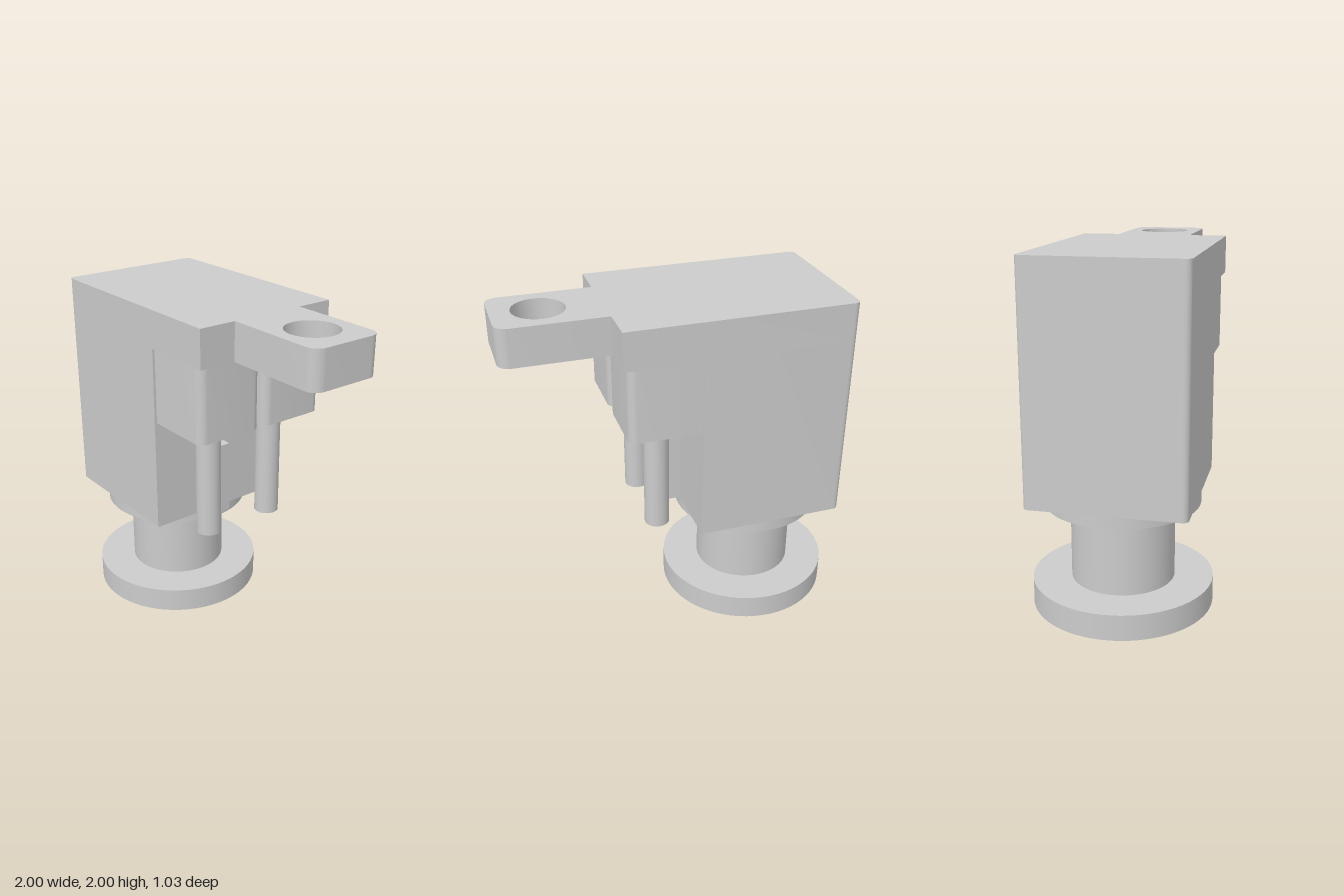
import * as THREE from 'three';
import { toCreasedNormals } from 'three/addons/utils/BufferGeometryUtils.js';

const material = new THREE.MeshStandardMaterial({ color: 0xcccccc });

export function createModel() {
  const model = new THREE.Group();

  function add(name, geometry, x = 0, y = 0, z = 0) {
    const mesh = new THREE.Mesh(geometry, material);
    mesh.name = name;
    mesh.position.set(x, y, z);
    model.add(mesh);
    return mesh;
  }

  // Vertical prism from a plan outline, standing on y0
  function addPrism(name, shape, y0, y1, z = 0) {
    const geometry = new THREE.ExtrudeGeometry(shape, {
      depth: y1 - y0, bevelEnabled: false, curveSegments: 12,
    });
    geometry.rotateX(-Math.PI / 2);
    return add(name, toCreasedNormals(geometry, 0.6), 0, y0, z);
  }

  function addDisc(name, radius, y0, y1, x, z = 0, sides = 64) {
    return add(name, new THREE.CylinderGeometry(radius, radius, y1 - y0, sides), x, (y0 + y1) / 2, z);
  }

  // Plan outline; each corner is [x, z, fillet radius], counter-clockwise
  function plan(corners) {
    const shape = new THREE.Shape();
    const n = corners.length;
    corners.forEach(([x, y, r = 0], i) => {
      const p = new THREE.Vector2(x, y);
      const toward = ([cx, cy]) =>
        new THREE.Vector2(cx, cy).sub(p).normalize().multiplyScalar(r).add(p);
      const a = toward(corners[(i + n - 1) % n]);
      const b = toward(corners[(i + 1) % n]);
      if (i === 0) shape.moveTo(a.x, a.y);
      else shape.lineTo(a.x, a.y);
      if (r > 0) {
        // right-angle fillet arc
        const c = a.clone().add(b).sub(p);
        const start = Math.atan2(a.y - c.y, a.x - c.x);
        shape.absarc(c.x, c.y, r, start, start + Math.PI / 2, false);
      }
    });
    shape.closePath();
    return shape;
  }

  // Main housing
  addPrism('housing', plan([
    [-0.923, -0.443, 0.035], [-0.04, -0.443], [-0.04, 0.443], [-0.923, 0.443, 0.035],
  ]), 0.67, 1.78);

  // Top plate with pierced mounting tab
  const top = plan([
    [-0.923, -0.443, 0.035], [0.4, -0.443], [0.4, -0.222], [1, -0.222, 0.07],
    [1, 0.222, 0.07], [0.4, 0.222], [0.4, 0.443], [-0.923, 0.443, 0.035],
  ]);
  const hole = new THREE.Path();
  hole.absarc(0.74, 0, 0.148, 0, Math.PI * 2, true);
  top.holes.push(hole);
  addPrism('topPlate', top, 1.78, 2);

  // Paired terminal blocks and their pins
  for (const side of [-1, 1]) {
    addPrism('terminalBlock', plan([
      [-0.04, -0.206], [0.373, -0.206, 0.05], [0.373, 0.206, 0.05], [-0.04, 0.206],
    ]), 1.34, 1.78, side * 0.222);
    addDisc('terminalPin', 0.073, 0.67, 1.34, 0.167, side * 0.222, 40);
  }

  // Locating rib on the housing face
  add('locatingRib', new THREE.BoxGeometry(0.074, 0.443, 0.072), -0.004, 0.892, 0);

  // Round plunger under the housing
  addDisc('collar', 0.442, 0.6, 0.67, -0.482);
  addDisc('stem', 0.296, 0.148, 0.6, -0.482);
  addDisc('basePad', 0.517, 0, 0.148, -0.483);

  return model;
}
